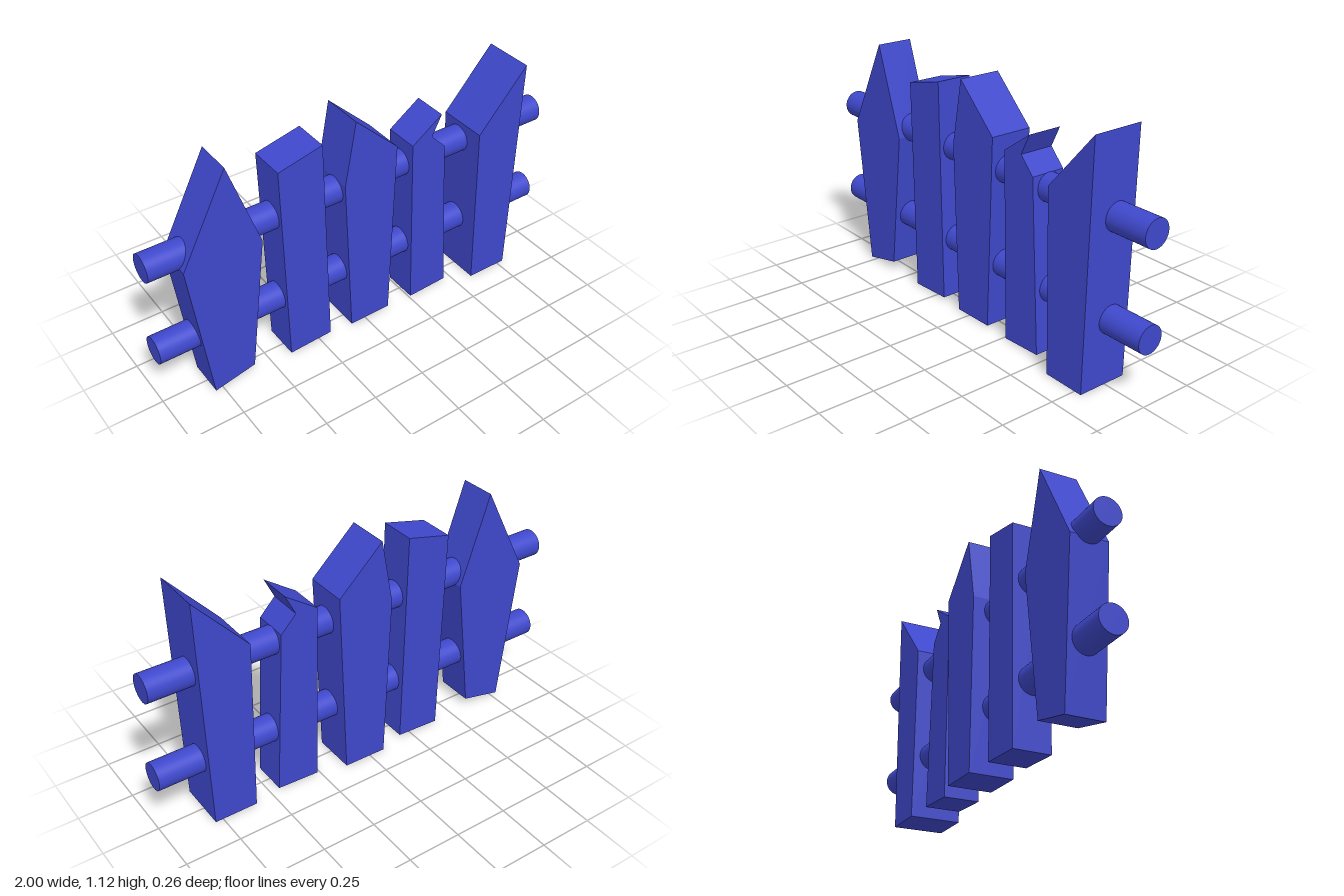
import * as THREE from 'three';

// Each board: outline (x, y) counter-clockwise, then its back and front depth
const BOARDS = [
  { name: 'pointedBoard', back: -0.095, front: 0.076,
    outline: [[-0.785, 0], [-0.59, 0.045], [-0.51, 0.7], [-0.65, 1.115], [-0.865, 0.7]] },
  { name: 'bluntBoard', back: -0.1, front: 0.07,
    outline: [[-0.4, 0], [-0.19, 0.012], [-0.21, 1.04], [-0.42, 0.99]] },
  { name: 'middleBoard', back: -0.128, front: 0.072,
    outline: [[-0.075, 0], [0.13, 0.004], [0.16, 0.89], [-0.05, 1.09], [-0.105, 0.79]] },
  { name: 'splinteredBoard', back: -0.087, front: 0.075,
    outline: [[0.26, 0], [0.46, 0.01], [0.415, 0.795], [0.343, 0.87], [0.39, 0.965], [0.24, 0.86]] },
  { name: 'slantedBoard', back: -0.105, front: 0.13,
    outline: [[0.585, 0], [0.785, 0], [0.805, 1.09], [0.565, 0.82]] },
];

export function createModel() {
  const fence = new THREE.Group();
  fence.name = 'fence';
  const flatPaint = new THREE.MeshStandardMaterial({ color: 0x3f48cc, flatShading: true });
  const smoothPaint = new THREE.MeshStandardMaterial({ color: 0x3f48cc });

  // Crooked upright boards
  for (const { name, back, front, outline } of BOARDS) {
    const shape = new THREE.Shape(outline.map(([x, y]) => new THREE.Vector2(x, y)));
    const geometry = new THREE.ExtrudeGeometry(shape, { depth: front - back, bevelEnabled: false });
    const board = new THREE.Mesh(geometry, flatPaint);
    board.name = name;
    board.position.z = back;
    fence.add(board);
  }

  // Round rails running through all boards
  for (const [name, y] of [['lowerRail', 0.294], ['upperRail', 0.734]]) {
    const rail = new THREE.Mesh(new THREE.CylinderGeometry(0.0625, 0.0625, 2, 48), smoothPaint);
    rail.name = name;
    rail.rotation.z = Math.PI / 2;
    rail.position.set(0, y, -0.012);
    fence.add(rail);
  }
  return fence;
}
